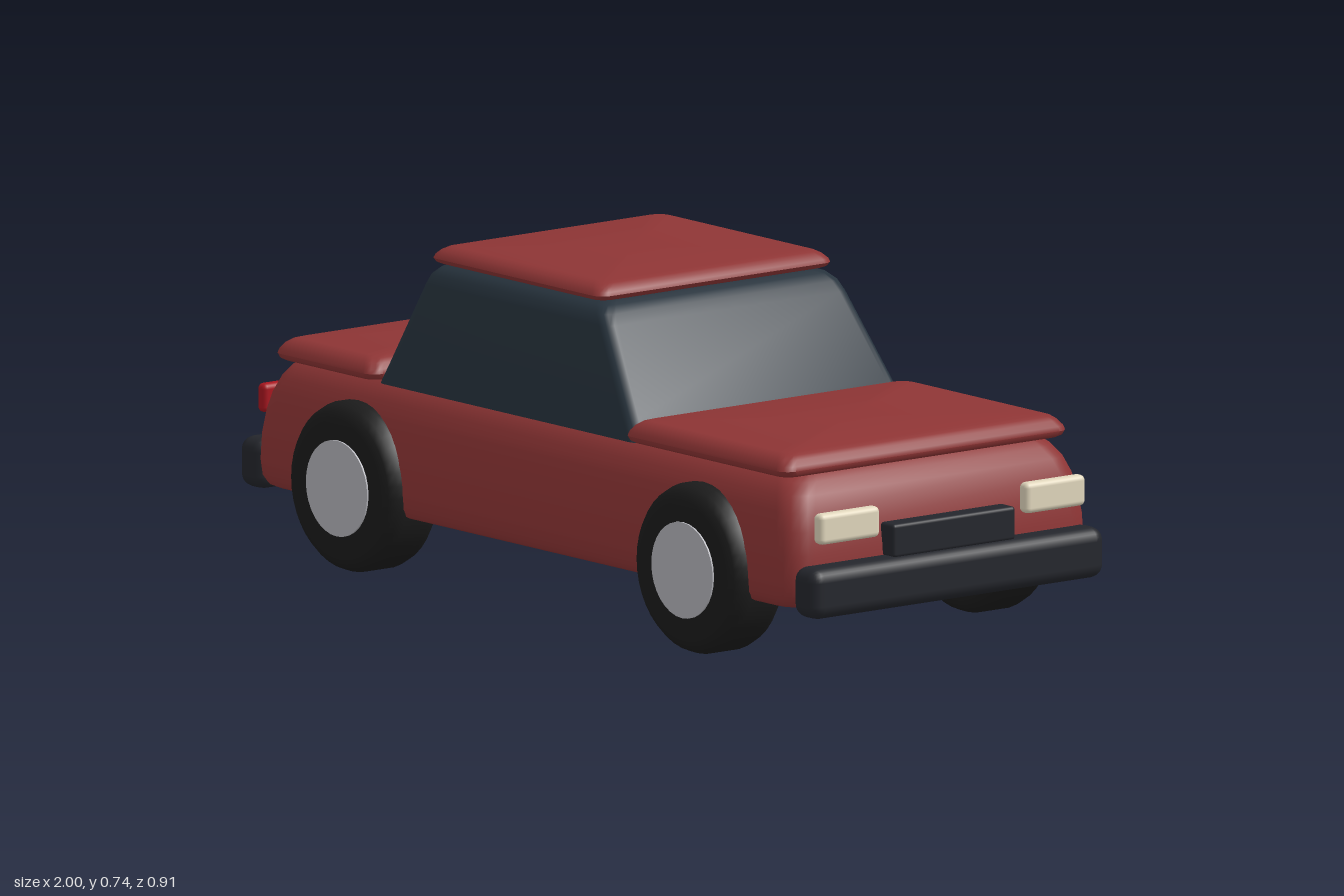
import * as THREE from 'three';
import { RoundedBoxGeometry } from 'three/addons/geometries/RoundedBoxGeometry.js';
import { toCreasedNormals } from 'three/addons/utils/BufferGeometryUtils.js';

const mat = (color) => new THREE.MeshStandardMaterial({ color });

// Stack of rounded rectangles, each [y, xMin, xMax, halfZ, cornerRadius], closed top and bottom
function loft(sections, steps = 5) {
  const pos = [], index = [];
  const n = 4 * (steps + 1);
  for (const [y, x0, x1, hz, r] of sections) {
    const cx = (x0 + x1) / 2, hx = (x1 - x0) / 2;
    for (let c = 0; c < 4; c++) {
      const sx = c === 0 || c === 3 ? 1 : -1, sz = c < 2 ? -1 : 1;
      for (let k = 0; k <= steps; k++) {
        const a = (c + k / steps) * Math.PI / 2;
        pos.push(cx + sx * (hx - r) + r * Math.cos(a), y, sz * (hz - r) - r * Math.sin(a));
      }
    }
  }
  const last = sections.length - 1;
  for (const s of [sections[0], sections[last]]) pos.push((s[1] + s[2]) / 2, s[0], 0);
  const bottom = sections.length * n, top = bottom + 1;
  for (let i = 0; i < n; i++) {
    const k = (i + 1) % n;
    for (let j = 0; j < last; j++) {
      const a = j * n + i, b = j * n + k;
      index.push(a, b, b + n, a, b + n, a + n);
    }
    index.push(bottom, k, i, top, last * n + i, last * n + k);
  }
  const g = new THREE.BufferGeometry();
  g.setAttribute('position', new THREE.Float32BufferAttribute(pos, 3));
  g.setIndex(index);
  return toCreasedNormals(g, 0.7);
}

// Thin panel with a softly rolled upper edge
function panel(x0, x1, y0, y1, hz) {
  const h = y1 - y0;
  const roll = [[0, 0.012], [0.1, 0.004], [0.3, 0], [0.5, 0.003], [0.75, 0.012], [0.92, 0.023], [1, 0.036]];
  return loft(roll.map(([t, d]) => [y0 + h * t, x0 + d, x1 - d, hz - d, 0.03]));
}

export function createModel() {
  const car = new THREE.Group();
  car.name = 'car';
  const paint = mat(0x8e3535), glass = mat(0x26323c), rubber = mat(0x1b1b1b);
  const trim = mat(0x24262c), metal = mat(0xb4b4ba), lamp = mat(0xe0d6bc), red = mat(0xa8161f);

  const add = (name, geometry, material, x = 0, y = 0, z = 0) => {
    const m = new THREE.Mesh(geometry, material);
    m.name = name;
    m.position.set(x, y, z);
    car.add(m);
    return m;
  };
  const box = (w, h, d, r) => new RoundedBoxGeometry(w, h, d, 3, r);

  // Lower body: half length and half width at each height
  const body = [
    [0.142, 0.915, 0.395], [0.148, 0.928, 0.407], [0.165, 0.938, 0.415], [0.2, 0.942, 0.418],
    [0.26, 0.939, 0.416], [0.31, 0.931, 0.41], [0.35, 0.92, 0.402], [0.385, 0.905, 0.389],
    [0.41, 0.887, 0.372], [0.43, 0.86, 0.348], [0.44, 0.83, 0.32],
  ];
  add('body', loft(body.map(([y, hx, hz]) => [y, -hx, hx, hz, 0.06])), paint);

  // Glass cabin, hood, trunk lid and roof
  add('cabin', loft([
    [0.42, -0.557, 0.352, 0.378, 0.03], [0.47, -0.532, 0.318, 0.37, 0.03],
    [0.65, -0.45, 0.197, 0.338, 0.03], [0.672, -0.44, 0.18, 0.331, 0.03],
    [0.688, -0.425, 0.16, 0.315, 0.03], [0.697, -0.4, 0.13, 0.288, 0.03],
  ]), glass);
  add('hood', panel(0.32, 0.885, 0.424, 0.473, 0.397), paint);
  add('trunkLid', panel(-0.89, -0.543, 0.424, 0.473, 0.397), paint);
  add('roof', panel(-0.438, 0.16, 0.697, 0.735, 0.327), paint);

  // Bumpers and grille
  for (const [name, s] of [['frontBumper', 1], ['rearBumper', -1]]) {
    add(name, box(0.086, 0.112, 0.815, 0.03), trim, s * 0.957, 0.184, 0);
  }
  add('grille', box(0.05, 0.074, 0.34, 0.008), trim, 0.953, 0.274, 0);

  // Lamps and wheels, mirrored left and right of the centre line
  const tyre = new THREE.LatheGeometry([
    [0, -0.074], [0.15, -0.074], [0.168, -0.069], [0.181, -0.055], [0.188, -0.035],
    [0.188, 0.035], [0.181, 0.055], [0.168, 0.069], [0.15, 0.074], [0, 0.074],
  ].map(([r, y]) => new THREE.Vector2(r, y)), 40);
  tyre.rotateX(Math.PI / 2);
  const hub = new THREE.CylinderGeometry(0.106, 0.106, 0.156, 32).rotateX(Math.PI / 2);
  for (const s of [1, -1]) {
    add('headlight', box(0.032, 0.068, 0.166, 0.012), lamp, 0.959, 0.322, s * 0.286);
    add('tailLight', box(0.03, 0.064, 0.166, 0.012), red, -0.964, 0.322, s * 0.286);
    for (const x of [0.597, -0.597]) {
      add('tyre', tyre, rubber, x, 0.188, s * 0.375);
      add('hubcap', hub, metal, x, 0.188, s * 0.375);
    }
  }
  return car;
}
